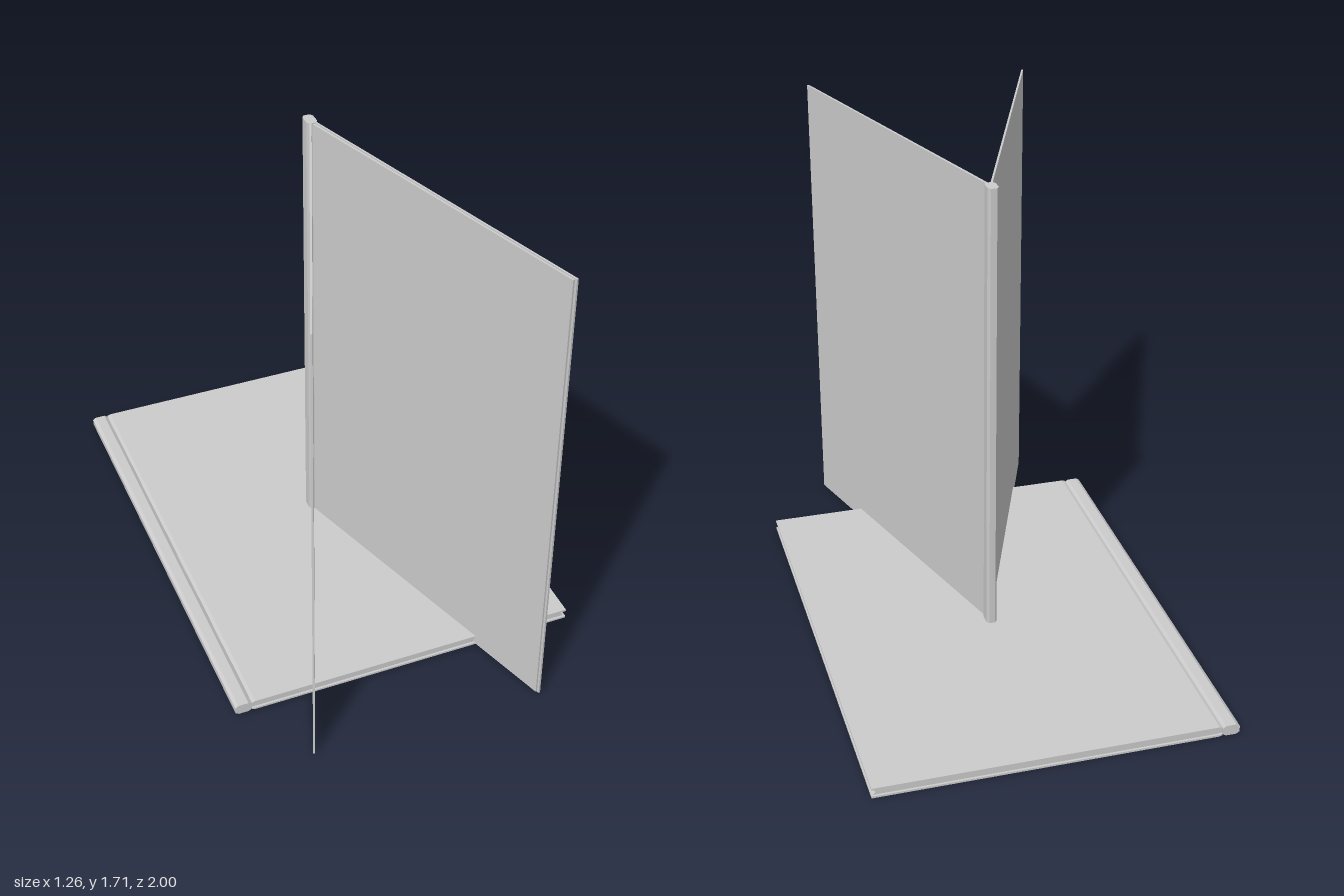
import * as THREE from 'three';

const LENGTH = 1.705;
const material = new THREE.MeshStandardMaterial({ color: 0xcccccc, flatShading: true, side: THREE.DoubleSide });

// Extrudes a closed outline along z
function prism(name, points, depth, z = 0) {
  const shape = new THREE.Shape(points.map(([x, y]) => new THREE.Vector2(x, y)));
  const geometry = new THREE.ExtrudeGeometry(shape, { depth, bevelEnabled: false });
  geometry.translate(0, 0, z);
  const mesh = new THREE.Mesh(geometry, material);
  mesh.name = name;
  return mesh;
}

// Spine with chamfered corners, running from its hinge at x = 0 to x = -0.06
function spine() {
  const h = 0.019;
  return prism('spine', [
    [0, -0.011], [0, 0.011], [-0.012, h], [-0.048, h],
    [-0.06, 0.011], [-0.06, -0.011], [-0.048, -h], [-0.012, -h],
  ], LENGTH);
}

// Closed book: spine, two covers and a page block with a hollow fore edge
function closedBook() {
  const book = new THREE.Group();
  book.name = 'closedBook';
  book.add(spine());
  for (const side of [-1, 1]) {
    const inner = side * 0.012, outer = side * 0.019;
    book.add(prism(side > 0 ? 'topCover' : 'bottomCover',
      [[0, side * 0.011], [0.012, inner], [1.195, inner], [1.195, outer], [0.012, outer], [0, side * 0.015]], LENGTH));
  }
  book.add(prism('pages', [
    [-0.002, -0.011], [0.01, -0.012], [1.188, -0.012], [1.181, -0.005],
    [1.181, 0.005], [1.188, 0.012], [0.01, 0.012], [-0.002, 0.011],
  ], LENGTH - 0.016, 0.008));
  book.position.set(-0.57, 0.024, -1);
  return book;
}

// One thin leaf swinging out from the hinge to the given end point
function leaf(name, endX, endZ, hingeX, thickness) {
  const hingeZ = -0.155;
  const dx = endX - hingeX, dz = endZ - hingeZ;
  const geometry = new THREE.BoxGeometry(thickness, LENGTH, Math.hypot(dx, dz));
  const mesh = new THREE.Mesh(geometry, material);
  mesh.name = name;
  mesh.position.set((endX + hingeX) / 2, LENGTH / 2 + 0.004, (endZ + hingeZ) / 2);
  mesh.rotation.y = Math.atan2(dx, dz);
  return mesh;
}

// Open book standing on end, with the pages resting on one cover
function openBook() {
  const book = new THREE.Group();
  book.name = 'openBook';
  const back = new THREE.Group();
  back.name = 'standingSpine';
  back.add(spine());
  back.rotation.set(-Math.PI / 2, 0, -Math.PI / 2);
  back.position.set(0, 0.004, -0.148);
  book.add(back);
  book.add(leaf('rightCover', -0.447, 0.965, -0.006, 0.007));
  book.add(leaf('leftCover', 0.371, 0.998, 0.009, 0.007));
  const pages = leaf('standingPages', 0.363, 0.992, 0.001, 0.009);
  pages.scale.y = 0.995;
  book.add(pages);
  return book;
}

export function createModel() {
  const model = new THREE.Group();
  model.name = 'books';
  model.add(closedBook(), openBook());
  return model;
}
